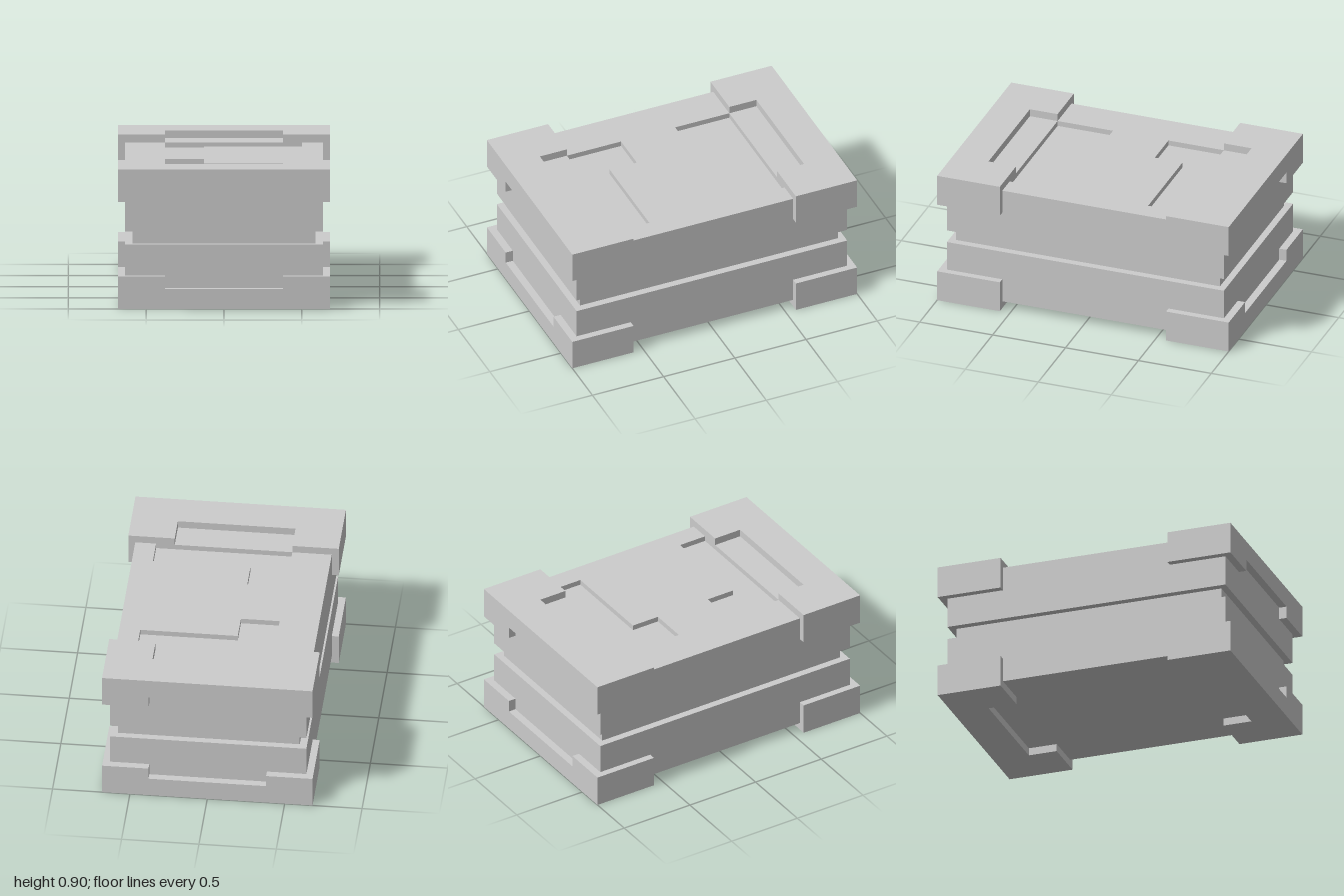
import * as THREE from 'three';

const material = new THREE.MeshStandardMaterial({ color: 0xcccccc, flatShading: true });
const H = 0.905; // overall height

function add(parent, name, geometry) {
  const mesh = new THREE.Mesh(geometry, material);
  mesh.name = name;
  parent.add(mesh);
  return mesh;
}

// Box given by its lower and upper corners
function block(parent, name, [x0, y0, z0], [x1, y1, z1]) {
  const mesh = add(parent, name, new THREE.BoxGeometry(x1 - x0, y1 - y0, z1 - z0));
  mesh.position.set((x0 + x1) / 2, (y0 + y1) / 2, (z0 + z1) / 2);
}

const toVectors = (points) => points.map(([x, y]) => new THREE.Vector2(x, y));

function extrude(outline, depth, holes = []) {
  const shape = new THREE.Shape(toVectors(outline));
  shape.holes = holes.map((h) => new THREE.Path(toVectors(h)));
  return new THREE.ExtrudeGeometry(shape, { depth, bevelEnabled: false });
}

// Plate drawn in plan as [x, z], resting on height y
function plate(parent, name, outline, y, thickness, holes = []) {
  const flip = (pts) => pts.map(([x, z]) => [x, -z]);
  const geometry = extrude(flip(outline), thickness, holes.map(flip));
  geometry.rotateX(-Math.PI / 2);
  geometry.translate(0, y, 0);
  add(parent, name, geometry);
}

// End cap at the top front: notched plate, front skirt and two side skirts
function createCap(name) {
  const cap = new THREE.Group();
  cap.name = name;
  plate(cap, 'capPlate', [
    [-0.68, 1], [0.68, 1], [0.68, 0.57], [0.38, 0.57],
    [0.38, 0.76], [-0.38, 0.76], [-0.38, 0.57], [-0.68, 0.57],
  ], 0.855, 0.05);
  const skirt = extrude([
    [-0.68, 0.695], [-0.38, 0.695], [-0.38, 0.775], [0.38, 0.775],
    [0.38, 0.695], [0.68, 0.695], [0.68, 0.855], [-0.68, 0.855],
  ], 0.05);
  skirt.translate(0, 0, 0.95);
  add(cap, 'capFrontSkirt', skirt);
  block(cap, 'capLeftSkirt', [0.635, 0.695, 0.57], [0.68, 0.855, 0.95]);
  block(cap, 'capRightSkirt', [-0.68, 0.695, 0.57], [-0.635, 0.855, 0.95]);
  return cap;
}

export function createModel() {
  const model = new THREE.Group();
  model.name = 'crate';

  // Lower body, recessed seam and upper body
  block(model, 'lowerBody', [-0.635, 0.05, -0.95], [0.635, 0.41, 0.95]);
  block(model, 'seam', [-0.587, 0.41, -0.905], [0.587, 0.495, 0.905]);
  block(model, 'upperBody', [-0.635, 0.495, -0.95], [0.635, 0.82, 0.95]);

  // Lid with an L-shaped recess toward each end
  const recess = (s) => [
    [-0.38, 0.57], [0.5, 0.57], [0.5, 0.38], [-0.13, 0.38], [-0.13, 0.19], [-0.38, 0.19],
  ].map(([x, z]) => [x, s * z]);
  plate(model, 'lid', [[-0.635, 0.95], [0.635, 0.95], [0.635, -0.95], [-0.635, -0.95]],
    0.82, 0.035, [recess(1), recess(-1)]);

  // Caps on all four ends: front and back, top and bottom
  for (const [side, turn] of [['Front', 0], ['Back', Math.PI]]) {
    const top = createCap('top' + side + 'Cap');
    top.rotation.y = turn;
    model.add(top);

    const bottom = new THREE.Group();
    bottom.name = 'bottom' + side + 'Cap';
    const flipped = createCap('flippedCap');
    flipped.rotation.z = Math.PI;
    flipped.position.y = H;
    bottom.add(flipped);
    bottom.rotation.y = turn;
    model.add(bottom);
  }
  return model;
}
